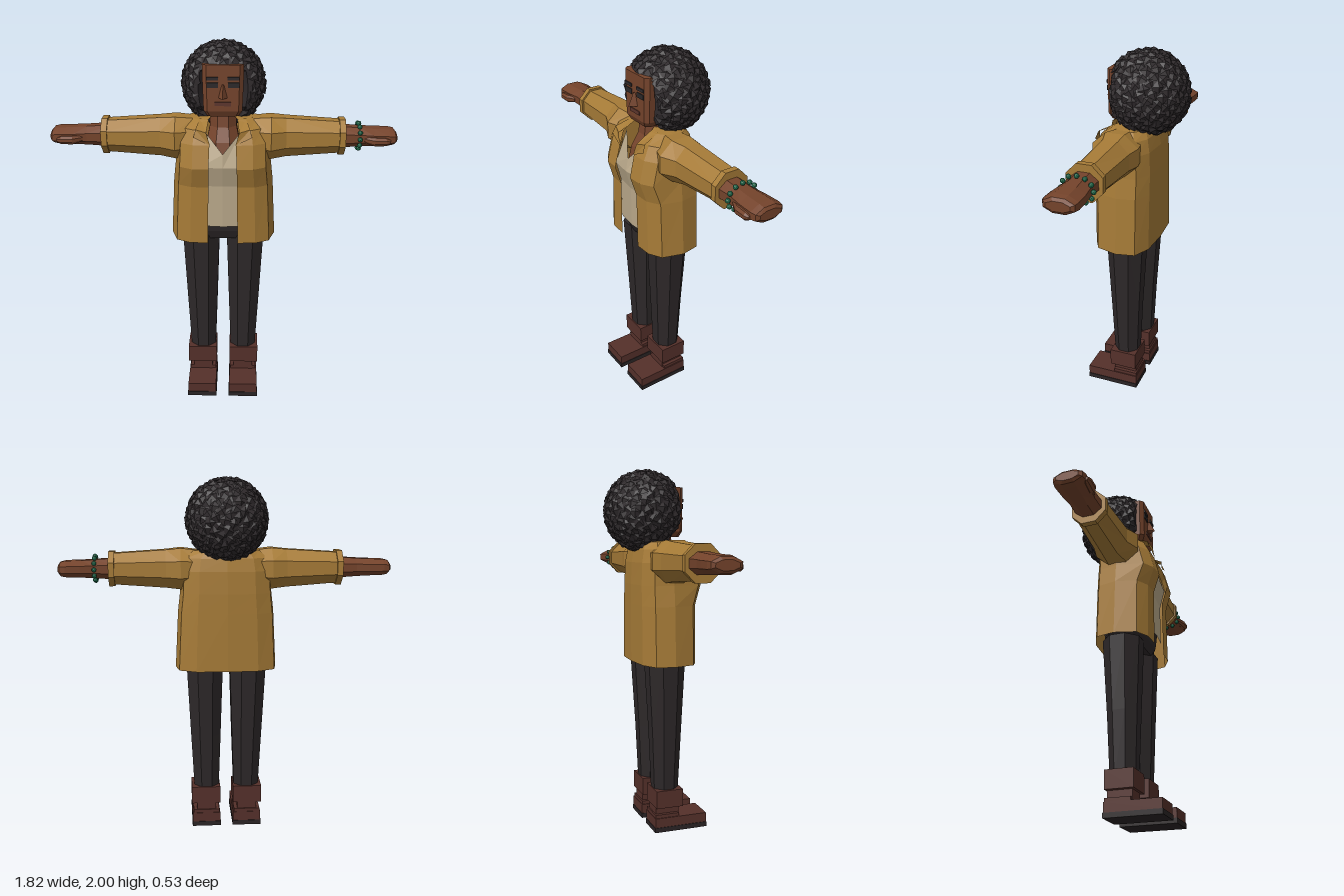
import * as THREE from 'three';
import { mergeGeometries } from 'three/addons/utils/BufferGeometryUtils.js';

const mat = (name, color, side = THREE.FrontSide) => {
  const m = new THREE.MeshStandardMaterial({ color, flatShading: true, side });
  m.name = name;
  return m;
};

// Flat-shaded skin through a list of rings; closed rings get caps and outward faces.
function loft(rings, closed = true) {
  const pos = [], n = rings[0].length;
  const tri = (a, b, c) => pos.push(...a, ...b, ...c);
  for (let i = 0; i + 1 < rings.length; i++) {
    for (let j = 0; j < (closed ? n : n - 1); j++) {
      const k = (j + 1) % n, A = rings[i], B = rings[i + 1];
      tri(A[j], A[k], B[k]);
      tri(A[j], B[k], B[j]);
    }
  }
  if (closed) {
    const first = rings[0], last = rings[rings.length - 1];
    for (let j = 1; j < n - 1; j++) {
      tri(first[0], first[j + 1], first[j]);
      tri(last[0], last[j], last[j + 1]);
    }
  }
  const g = new THREE.BufferGeometry();
  g.setAttribute('position', new THREE.Float32BufferAttribute(pos, 3));
  let volume = 0;
  const [a, b, c] = [0, 1, 2].map(() => new THREE.Vector3());
  for (let i = 0; i < pos.length; i += 9) {
    volume += a.fromArray(pos, i).dot(b.fromArray(pos, i + 3).cross(c.fromArray(pos, i + 6)));
  }
  if (closed && volume < 0) flip(g);
  g.computeVertexNormals();
  return g;
}

function flip(g) {
  const p = g.attributes.position.array;
  for (let i = 0; i < p.length; i += 9) {
    for (let k = 0; k < 3; k++) [p[i + 3 + k], p[i + 6 + k]] = [p[i + 6 + k], p[i + 3 + k]];
  }
}

function mirrored(geo) {
  const g = geo.index ? geo.toNonIndexed() : geo.clone();
  g.scale(-1, 1, 1);
  flip(g);
  g.computeVertexNormals();
  return g;
}

// Eight-sided ring with flats at the extremes.
const octagon = (fn) => Array.from({ length: 8 }, (_, i) => {
  const t = (i + 0.5) * Math.PI / 4, k = 1 / Math.cos(Math.PI / 8);
  return fn(Math.cos(t) * k, Math.sin(t) * k);
});
const level = (y, x, w, front, back) =>
  octagon((c, s) => [x + c * w, y, (front + back) / 2 + s * (front - back) / 2]);
const armRing = (x, ry, rz, cy = 1.51, cz = 0.035) => octagon((c, s) => [x, cy + c * ry, cz + s * rz]);

const box = (x, y, z, w, h, d) => new THREE.BoxGeometry(w, h, d).translate(x, y, z);

export function createModel() {
  const model = new THREE.Group();
  const skin = mat('skin', 0x74432b), hair = mat('hair', 0x2f2a2c);
  const cloth = mat('jacket', 0xa67b37, THREE.DoubleSide);
  const cream = mat('shirt', 0xb9a88a, THREE.DoubleSide);
  const trousers = mat('trousers', 0x2d2829), leather = mat('boots', 0x55302a);
  const rubber = mat('sole', 0x2a2425), green = mat('beads', 0x1c6648);
  const dark = mat('eyes', 0x2b2829), lip = mat('lips', 0x5c352c);

  const add = (name, geo, m) => {
    const mesh = new THREE.Mesh(geo, m);
    mesh.name = name;
    model.add(mesh);
  };
  const pair = (name, geo, m) => {
    add('left' + name, geo, m);
    add('right' + name, mirrored(geo), m);
  };

  // Legs and hips
  pair('TrouserLeg', loft([
    level(0.2, 0.115, 0.07, 0.108, -0.03), level(0.55, 0.118, 0.085, 0.122, -0.045),
    level(0.97, 0.122, 0.102, 0.14, -0.07)]), trousers);
  add('hips', loft([level(0.95, 0, 0.19, 0.13, -0.07), level(1.0, 0, 0.225, 0.15, -0.085),
    level(1.08, 0, 0.23, 0.16, -0.09)]), trousers);

  // Boots
  pair('BootShaft', box(0.12, 0.19, 0.04, 0.165, 0.1, 0.155), leather);
  pair('BootAnkle', box(0.118, 0.115, 0.035, 0.11, 0.07, 0.135), leather);
  pair('BootFoot', box(0.118, 0.053, 0.11, 0.16, 0.055, 0.305), leather);
  pair('BootHeel', box(0.118, 0.075, 0.03, 0.15, 0.05, 0.14), leather);
  pair('BootSole', box(0.118, 0.0135, 0.11, 0.166, 0.027, 0.31), rubber);

  // Open jacket body: y, half width, front z, back z, half opening
  const jacketRow = ([y, w, f, b, open]) => {
    const half = [[open, f], [0.62 * w, f - 0.004], [0.88 * w, f - 0.045], [w, 0.04],
      [0.93 * w, b + 0.055], [0.6 * w, b + 0.01]];
    return [...half.map(([x, z]) => [x, y, z]), [0, y, b],
      ...half.reverse().map(([x, z]) => [-x, y, z])];
  };
  add('jacketBody', loft([
    [0.95, 0.285, 0.2, -0.118, 0.08], [1.27, 0.268, 0.2, -0.118, 0.075],
    [1.38, 0.255, 0.235, -0.118, 0.073], [1.5, 0.25, 0.205, -0.113, 0.068],
    [1.57, 0.235, 0.17, -0.1, 0.085], [1.61, 0.19, 0.11, -0.08, 0.08],
    [1.62, 0.1, 0.075, -0.06, 0.06]].map(jacketRow), false), cloth);
  pair('Lapel', loft([
    [[0.065, 1.5, 0.208], [0.15, 1.54, 0.2]],
    [[0.085, 1.565, 0.2], [0.14, 1.578, 0.185]],
    [[0.075, 1.61, 0.11], [0.12, 1.615, 0.09]]], false), cloth);

  // Shirt front with a V neckline
  const shirtRow = (y, z) => [[-0.12, y, z - 0.012], [0, y, z], [0.12, y, z - 0.012]];
  add('shirt', loft([shirtRow(1.04, 0.186), shirtRow(1.27, 0.186), shirtRow(1.38, 0.215),
    [[-0.1, 1.565, 0.14], [0, 1.45, 0.2], [0.1, 1.565, 0.14]]], false), cream);

  // Sleeves and hands
  pair('Sleeve', loft([armRing(0.16, 0.1, 0.1), armRing(0.25, 0.112, 0.125, 1.508, 0.045),
    armRing(0.33, 0.103, 0.098, 1.509), armRing(0.615, 0.084, 0.084)]), cloth);
  pair('Cuff', loft([armRing(0.608, 0.094, 0.094), armRing(0.64, 0.094, 0.094)]), cloth);
  pair('Hand', loft([armRing(0.6, 0.058, 0.074), armRing(0.72, 0.05, 0.07),
    armRing(0.79, 0.046, 0.08), armRing(0.87, 0.044, 0.084), armRing(0.9, 0.038, 0.078),
    armRing(0.911, 0.024, 0.06)]), skin);
  pair('Thumb', loft([armRing(0.74, 0.015, 0.015, 1.505, 0.095), armRing(0.79, 0.022, 0.022, 1.5, 0.116),
    armRing(0.85, 0.02, 0.02, 1.5, 0.12), armRing(0.872, 0.01, 0.01, 1.5, 0.12)]), skin);

  // Beaded bracelet on the left wrist
  add('bracelet', mergeGeometries(Array.from({ length: 12 }, (_, i) => {
    const t = i * Math.PI / 6;
    return new THREE.IcosahedronGeometry(0.013, 1)
      .translate(0.715, 1.51 + Math.cos(t) * 0.067, 0.035 + Math.sin(t) * 0.082);
  })), green);

  // Neck and head
  add('neck', loft([level(1.38, 0, 0.095, 0.185, -0.04), level(1.5, 0, 0.085, 0.155, -0.04),
    level(1.57, 0, 0.07, 0.115, -0.04), level(1.68, 0, 0.07, 0.1, -0.04)]), skin);
  const headRing = (y, w, f) => [[-w, y, f - 0.02], [-w * 0.8, y, f], [w * 0.8, y, f], [w, y, f - 0.02],
    [w, y, -0.08], [-w, y, -0.08]];
  add('head', loft([headRing(1.635, 0.082, 0.135), headRing(1.665, 0.1, 0.15),
    headRing(1.86, 0.106, 0.15), headRing(1.9, 0.106, 0.15)]), skin);
  add('nose', new THREE.CylinderGeometry(0.005, 0.036, 0.068, 3).translate(0, 1.768, 0.154), skin);
  pair('Eye', box(0.054, 1.799, 0.151, 0.058, 0.026, 0.008), dark);
  pair('Eyebrow', box(0.054, 1.832, 0.152, 0.06, 0.016, 0.009), hair);
  add('mouth', box(0, 1.703, 0.151, 0.085, 0.02, 0.008), lip);

  // Round hair: a core plus overlapping tufts, pushed back around the face
  const shape = (g) => {
    const p = g.attributes.position;
    for (let i = 0; i < p.count; i++) {
      const x = p.getX(i), y = p.getY(i), z = p.getZ(i);
      const limit = y > 1.875 ? 0.16 : Math.abs(x) < 0.11 ? 0.06 : 0.115;
      p.setXYZ(i, x, Math.max(y, 1.55 + Math.max(0, z + 0.1) * 0.1), Math.min(z, limit));
    }
    g.computeVertexNormals();
    return g;
  };
  const centre = new THREE.Vector3(0, 1.773, -0.04);
  const core = new THREE.IcosahedronGeometry(0.215, 6).translate(centre.x, centre.y, centre.z);
  const tufts = [], up = new THREE.Vector3(0, 1, 0), count = 300;
  let seed = 7;
  const rand = () => (seed = (seed * 16807) % 2147483647) / 2147483647;
  for (let i = 0; i < count; i++) {
    const h = 1 - 2 * (i + 0.5) / count, r = Math.sqrt(1 - h * h), t = i * 2.39996;
    const dir = new THREE.Vector3(Math.cos(t) * r, h, Math.sin(t) * r);
    const at = dir.clone().multiplyScalar(0.211 + rand() * 0.004).add(centre);
    if (at.z > 0.06 && at.y < 1.9 && Math.abs(at.x) < 0.13) continue;
    const lean = dir.clone().add(new THREE.Vector3(rand() - 0.5, rand() - 0.2, rand() - 0.5).multiplyScalar(0.5));
    const q = new THREE.Quaternion().setFromUnitVectors(up, lean.normalize());
    tufts.push(new THREE.OctahedronGeometry(1).rotateY(rand() * 3).scale(0.034, 0.015, 0.034)
      .applyQuaternion(q).translate(at.x, at.y, at.z));
  }
  add('hair', shape(mergeGeometries([core, ...tufts])), hair);

  return model;
}
